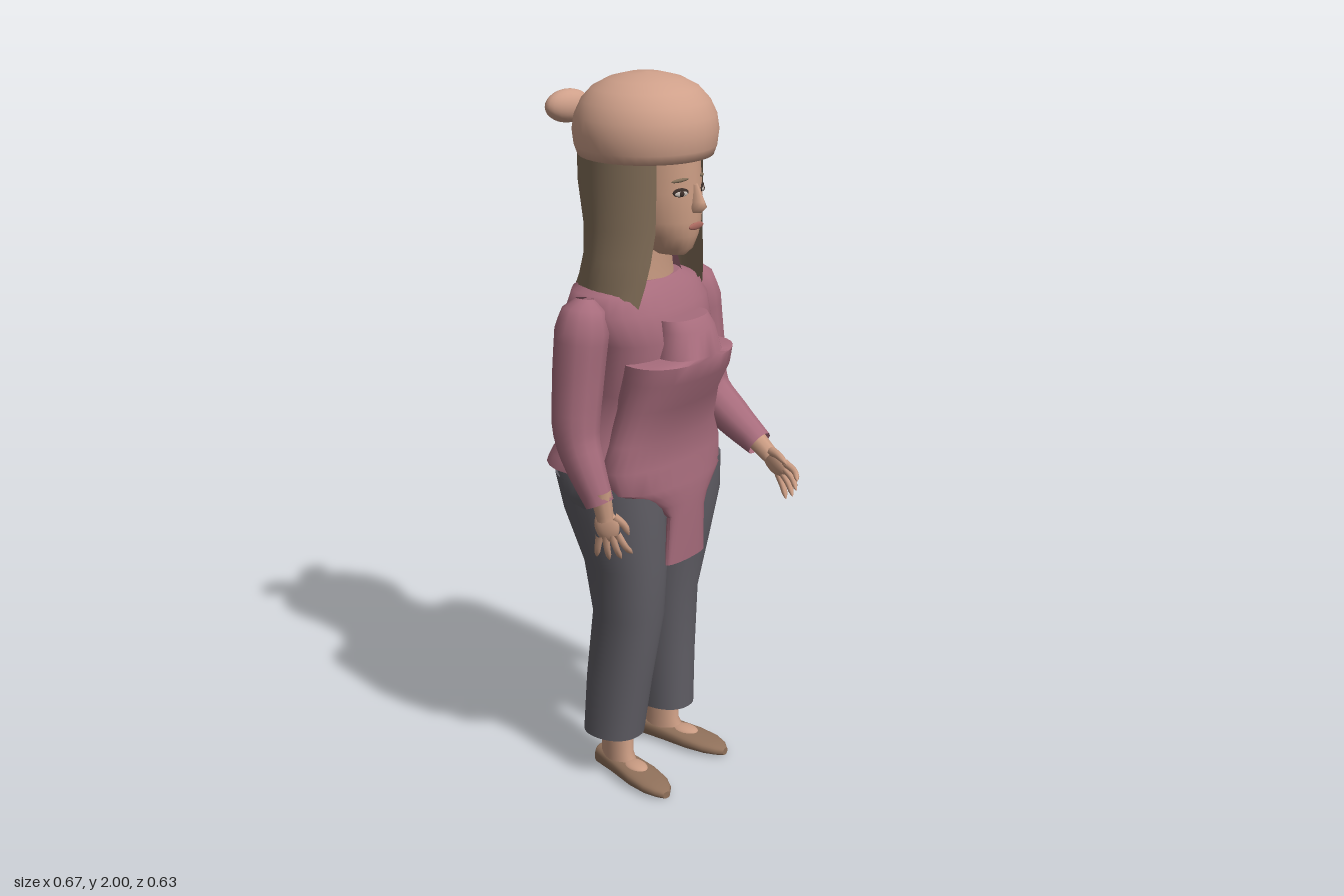
import * as THREE from 'three';
import { mergeVertices, toCreasedNormals } from 'three/addons/utils/BufferGeometryUtils.js';

const mat = (name, color, side = THREE.FrontSide) => {
  const m = new THREE.MeshStandardMaterial({ color, side });
  m.name = name;
  return m;
};

// Closed solid from stacked oval sections: [y, centreX, halfWidth, zFront, zBack], lowest first
function loft(rows, p = 2, n = 28) {
  const pos = [], idx = [];
  const bend = v => Math.sign(v) * Math.pow(Math.abs(v), 2 / p);
  const ring = ([y, cx, w, zf, zb]) => {
    for (let j = 0; j < n; j++) {
      const t = (j / n) * Math.PI * 2;
      pos.push(cx + w * bend(Math.sin(t)), y, (zf + zb) / 2 + (zf - zb) / 2 * bend(Math.cos(t)));
    }
  };
  rows.forEach(ring);
  for (let i = 0; i < rows.length - 1; i++) for (let j = 0; j < n; j++) {
    const k = (j + 1) % n, a = i * n + j, b = i * n + k;
    idx.push(a, b, b + n, a, b + n, a + n);
  }
  [rows[0], rows[rows.length - 1]].forEach((r, top) => {
    const s = pos.length / 3;
    ring(r);
    pos.push(r[1], r[0], (r[3] + r[4]) / 2);
    for (let j = 0; j < n; j++) {
      const k = (j + 1) % n;
      if (top) idx.push(s + j, s + k, s + n); else idx.push(s + k, s + j, s + n);
    }
  });
  const g = new THREE.BufferGeometry();
  g.setAttribute('position', new THREE.Float32BufferAttribute(pos, 3));
  g.setIndex(idx);
  g.computeVertexNormals();
  return g;
}

// Tube with a changing radius: stops are [fraction of length, radius]
function limb(points, stops, steps = 20, sides = 12) {
  const curve = new THREE.CatmullRomCurve3(points.map(p => new THREE.Vector3(...p)));
  let g = new THREE.TubeGeometry(curve, steps, 1, sides);
  const a = g.attributes.position, v = new THREE.Vector3();
  for (let i = 0; i <= steps; i++) {
    const u = i / steps, c = curve.getPointAt(u);
    let k = 0;
    while (k < stops.length - 2 && u > stops[k + 1][0]) k++;
    const [u0, r0] = stops[k], [u1, r1] = stops[k + 1];
    const r = THREE.MathUtils.lerp(r0, r1, (u - u0) / (u1 - u0));
    for (let j = 0; j <= sides; j++) {
      const q = i * (sides + 1) + j;
      v.fromBufferAttribute(a, q).sub(c).multiplyScalar(r).add(c);
      a.setXYZ(q, v.x, v.y, v.z);
    }
  }
  g.deleteAttribute('uv');
  g.deleteAttribute('normal');
  g = mergeVertices(g, 1e-5);
  g.computeVertexNormals();
  return g;
}

// Hair sheet wrapped round the back of the head, open at the face
function hairSheet() {
  const rows = [[1.82, .172, -.25, 2.5], [1.72, .172, -.25, 2.5], [1.6, .17, -.225, 2.48],
    [1.52, .177, -.222, 2.42], [1.46, .182, -.24, 2.35], [1.41, .184, -.262, 2.25]];
  const n = 32, g = new THREE.PlaneGeometry(1, 1, n, rows.length - 1), a = g.attributes.position;
  rows.forEach(([y, w, back, open], i) => {
    for (let j = 0; j <= n; j++) {
      const t = (j / n * 2 - 1) * open, s = Math.cos(t);
      const drop = i === rows.length - 1 ? .015 * Math.sin(j * 1.7) : 0;
      a.setXYZ(i * (n + 1) + j, -w * Math.sin(t), y + drop, -.09 - s * (s > 0 ? -.09 - back : .17));
    }
  });
  g.computeVertexNormals();
  return g;
}

export function createModel() {
  const model = new THREE.Group();
  model.name = 'standingWoman';
  const M = {
    sweater: mat('dustyRoseSweater', 0xa76c7c, THREE.DoubleSide),
    pants: mat('charcoalTrousers', 0x5f5d64),
    skin: mat('skin', 0xc99b82),
    hat: mat('peachHat', 0xcfa08a),
    hair: mat('brownHair', 0x836f59, THREE.DoubleSide),
    shoe: mat('brownShoe', 0x8f705a),
    white: mat('eyeWhite', 0xc8beb6),
    dark: mat('darkEye', 0x3d2f2a),
    lips: mat('lips', 0xa9695f),
  };
  const add = (name, geo, material, parent = model) => {
    const m = new THREE.Mesh(geo, material);
    m.name = name;
    parent.add(m);
    return m;
  };
  const blob = (name, material, at, size, parent = model) => {
    const m = add(name, new THREE.SphereGeometry(1, 20, 14), material, parent);
    m.position.set(...at);
    m.scale.set(...size);
    return m;
  };

  // Hat with two round knobs at the back
  const dome = [[0, 1.785], [.15, 1.782], [.182, 1.785], [.191, 1.81], [.196, 1.85], [.19, 1.89],
    [.172, 1.928], [.143, 1.96], [.1, 1.983], [.05, 1.996], [0, 2]].map(p => new THREE.Vector2(...p));
  add('hat', new THREE.LatheGeometry(dome, 36), M.hat).position.set(.003, 0, -.07);
  for (const s of [-1, 1])
    blob('hatKnob', M.hat, [s * .078, 1.9, -.268], [.068, .045, .038]).rotation.y = s * .35;

  // Head, neck and hair
  add('head', loft([[1.525, .003, .03, .06, -.06], [1.545, .003, .055, .08, -.1], [1.58, .003, .078, .092, -.13],
    [1.62, .004, .094, .097, -.15], [1.7, .005, .107, .095, -.17], [1.84, .005, .112, .082, -.18]]), M.skin);
  add('neck', loft([[1.4, 0, .11, .0, -.17], [1.47, 0, .1, -.005, -.16], [1.52, 0, .075, .0, -.15],
    [1.6, 0, .07, .0, -.14]]), M.skin);
  add('hair', hairSheet(), M.hair);

  // Face
  add('nose', loft([[1.645, .005, .014, .112, .07], [1.66, .005, .02, .128, .07], [1.675, .005, .014, .122, .07],
    [1.72, .005, .008, .1, .07]], 2, 12), M.skin);
  for (const s of [-1, 1]) {
    const x = .005 + s * .048;
    const parts = [
      blob('eyeLine', M.dark, [x, 1.703, .08], [.023, .012, .004]),
      blob('eyeWhite', M.white, [x, 1.7, .082], [.019, .008, .004]),
      blob('iris', M.dark, [x, 1.7, .0835], [.008, .008, .004]),
      blob('eyebrow', M.hair, [x, 1.735, .078], [.025, .005, .005]),
    ];
    parts.forEach(m => { m.rotation.y = s * .5; });
    parts[3].rotation.z = -s * .12;
  }
  blob('mouth', M.lips, [.005, 1.608, .096], [.032, .01, .005]);

  // Sweater body, collar and stepped front panel with its hanging flap
  add('sweaterBody', loft([[.93, .015, .262, .03, -.325], [.96, .015, .257, .045, -.31], [1.0, .01, .23, .05, -.28],
    [1.06, .005, .2, .05, -.25], [1.15, .005, .186, .06, -.23], [1.3, .005, .212, .08, -.235],
    [1.38, 0, .235, .05, -.245], [1.43, 0, .205, .02, -.235], [1.455, 0, .14, -.005, -.2]], 2.3), M.sweater);
  const collar = add('collar', new THREE.CylinderGeometry(.115, .135, .07, 24, 1, true, .9, Math.PI * 2 - 1.8), M.sweater);
  collar.position.set(0, 1.465, -.09);
  collar.scale.z = .85;
  add('frontPanel', toCreasedNormals(loft([[.65, .02, .086, .07, .03], [.79, .02, .08, .076, .03],
    [.825, .02, .11, .076, .0], [.86, .015, .17, .076, -.05], [.885, .01, .222, .074, -.1], [.95, .01, .238, .066, -.12],
    [1.02, .005, .21, .064, -.1], [1.12, .005, .19, .095, -.09], [1.2, .005, .192, .138, -.08],
    [1.25, .005, .19, .15, -.08], [1.26, 0, .105, .15, .0], [1.33, 0, .092, .132, .0],
    [1.36, 0, .086, .108, .0]], 2.3), .8), M.sweater);

  // Sleeves: one arm reaches forward, the other hangs
  const sleeve = [[0, .025], [.05, .058], [.14, .074], [.35, .071], [.6, .066], [.8, .055], [1, .04]];
  add('leftSleeve', limb([[.235, 1.43, -.085], [.25, 1.34, -.085], [.263, 1.2, -.075], [.27, 1.07, -.055],
    [.268, 1.0, .03], [.262, .935, .135]], sleeve), M.sweater);
  add('rightSleeve', limb([[-.23, 1.43, -.095], [-.245, 1.34, -.095], [-.258, 1.2, -.1], [-.272, 1.06, -.095],
    [-.275, .97, -.06], [-.27, .88, -.02]], sleeve), M.sweater);

  // Hands with spread, slightly curled fingers
  const hand = (name, s, at, rot) => {
    const h = new THREE.Group();
    h.name = name;
    h.position.set(...at);
    h.rotation.set(...rot);
    model.add(h);
    add('wrist', limb([[0, .05, 0], [0, 0, 0], [0, -.035, 0]], [[0, .03], [1, .024]], 6, 10), M.skin, h);
    blob('palm', M.skin, [-s * .003, -.055, 0], [.016, .048, .034], h);
    const taper = [[0, .011], [.8, .008], [1, .001]];
    for (let i = 0; i < 4; i++) {
      const z = (i - 1.5) * .016, len = [.062, .078, .08, .07][i];
      add('finger', limb([[0, -.08, z], [-s * .008, -.09 - len * .5, z * 1.6], [-s * (.02 + i * .005), -.09 - len, z * 2]],
        taper, 8, 8), M.skin, h);
    }
    add('thumb', limb([[-s * .005, -.03, .02], [-s * .018, -.065, .043], [-s * .025, -.1, .05]],
      [[0, .014], [.8, .009], [1, .001]], 8, 8), M.skin, h);
  };
  hand('leftHand', 1, [.262, .925, .15], [-1.0, -.15, -.1]);
  hand('rightHand', -1, [-.268, .87, -.01], [-.18, .5, .16]);

  // Trousers
  add('hips', loft([[.7, .015, .19, .035, -.2], [.78, .02, .235, .052, -.24], [.86, .02, .262, .06, -.272],
    [.92, .02, .258, .055, -.3], [.95, .02, .24, .045, -.29]], 2.3), M.pants);
  add('leftTrouserLeg', loft([[.13, .112, .074, .0, -.18], [.3, .115, .081, .0, -.195], [.5, .118, .087, .005, -.19],
    [.65, .128, .11, .03, -.2], [.8, .147, .13, .05, -.24], [.9, .152, .13, .05, -.27]], 2.2), M.pants);
  add('rightTrouserLeg', loft([[.13, -.13, .078, .0, -.175], [.3, -.12, .082, .022, -.17], [.5, -.104, .09, .05, -.155],
    [.65, -.103, .105, .055, -.18], [.8, -.112, .12, .055, -.24], [.9, -.115, .12, .05, -.27]], 2.2), M.pants);

  // Feet in flat slip-on shoes
  const shoeShape = loft([[-.16, 0, .022, 0, -.05], [-.14, 0, .04, 0, -.062], [-.06, 0, .043, 0, -.055],
    [.03, 0, .051, 0, -.046], [.09, 0, .045, 0, -.038], [.125, 0, .03, 0, -.03], [.143, 0, .012, 0, -.02]], 2.6, 24);
  shoeShape.rotateX(Math.PI / 2);
  const foot = (name, x, z, turn) => {
    const f = new THREE.Group();
    f.name = name;
    f.position.set(x, 0, z);
    f.rotation.y = turn;
    model.add(f);
    add('shoe', shoeShape, M.shoe, f);
    add('ankle', loft([[.03, 0, .038, .0, -.145], [.07, 0, .036, -.025, -.14], [.16, 0, .04, -.03, -.14]]), M.skin, f);
    blob('instep', M.skin, [0, .042, 0], [.03, .014, .045], f);
  };
  foot('leftFoot', .122, -.022, .06);
  foot('rightFoot', -.145, .0, -.25);

  return model;
}
